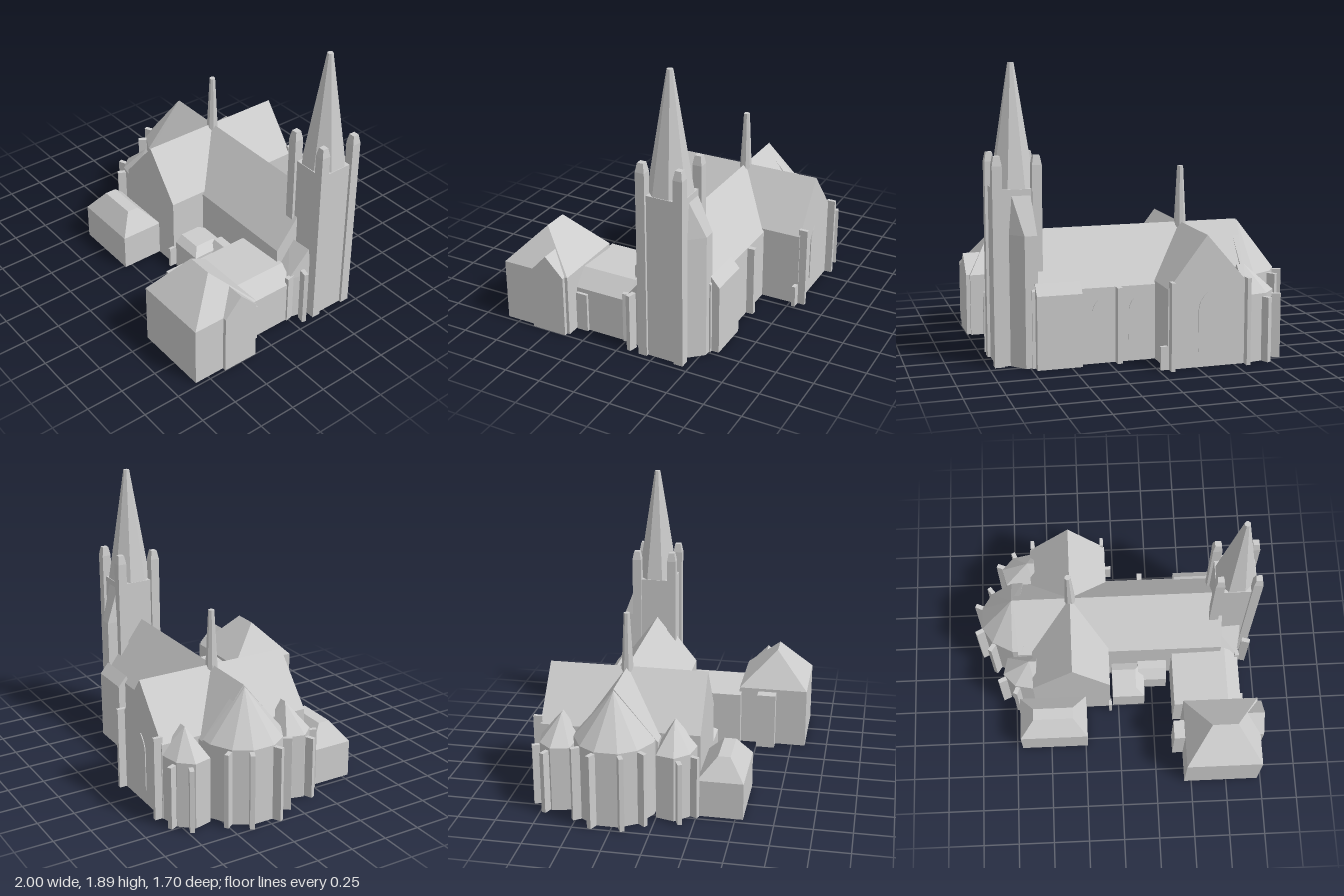
import * as THREE from 'three';
import { ConvexGeometry } from 'three/addons/geometries/ConvexGeometry.js';

export function createModel() {
  const model = new THREE.Group();
  model.name = 'church';
  const stone = new THREE.MeshStandardMaterial({ color: 0xcccccc });
  stone.name = 'paleStone';

  const add = (name, geometry, x = 0, y = 0, z = 0, ry = 0) => {
    const mesh = new THREE.Mesh(geometry, stone);
    mesh.name = name;
    mesh.position.set(x, y, z);
    mesh.rotation.y = ry;
    model.add(mesh);
    return mesh;
  };
  // Walls rise from a footprint of [x, z, own eave height?]; roof points are [x, y, z]
  const building = (name, footprint, eave, roof = []) => {
    const pts = roof.map(p => new THREE.Vector3(...p));
    for (const [x, z, y = eave] of footprint)
      pts.push(new THREE.Vector3(x, 0, z), new THREE.Vector3(x, y, z));
    return add(name, new ConvexGeometry(pts));
  };
  const rect = (x0, x1, z0, z1) => [[x0, z0], [x1, z0], [x1, z1], [x0, z1]];
  const block = (name, w, h, d, x, z, ry = 0) =>
    add(name, new THREE.BoxGeometry(w, h, d), x, h / 2, z, ry);
  const axisZ = -0.28;

  // Nave and polygonal apse under one ridge
  building('nave', rect(-0.7, 0.74, -0.54, 0), 0.49,
    [[-0.71, 0.84, axisZ], [0.74, 0.84, axisZ]]);
  const apse = [[-0.66, 0.265], [-0.74, 0.26], [-0.88, 0.185], [-0.95, 0.075]];
  building('apse', [
    ...apse.map(([x, d]) => [x, axisZ - d]),
    ...apse.map(([x, d]) => [x, axisZ + d])], 0.51,
    [[-0.72, 0.83, axisZ], [-0.66, 0.83, axisZ]]);

  // Transept crossing the nave
  building('transept', rect(-0.6, -0.06, -0.8, 0.255), 0.51,
    [[-0.315, 0.84, -0.8], [-0.315, 0.84, 0.255]]);

  // Matching chapels and radiating buttresses either side of the apse
  for (const s of [-1, 1]) {
    const at = d => axisZ + s * d;
    building('sideChapel', [
      [-0.57, at(0.26)], [-0.78, at(0.28)], [-0.81, at(0.4)],
      [-0.73, at(0.49)], [-0.58, at(0.52)]], 0.44,
      [[-0.62, 0.61, at(0.37)], [-0.57, 0.61, at(0.37)]]);
    const props = [
      [-0.97, 0.095, 0.5, -0.45], [-0.885, 0.215, 0.5, -0.95],
      [-0.82, 0.435, 0.42, -0.4], [-0.72, 0.515, 0.42, -1.15]];
    for (const [x, d, h, a] of props)
      block('apseButtress', 0.06, h, 0.03, x, at(d), a * -s);
  }

  // Buttresses along the walls
  block('transeptButtress', 0.025, 0.56, 0.06, -0.58, -0.82);
  block('transeptButtress', 0.025, 0.56, 0.06, -0.08, -0.82);
  block('lowButtress', 0.06, 0.15, 0.025, -0.045, -0.788);
  block('lowButtress', 0.02, 0.15, 0.05, -0.06, 0.27);
  block('naveButtress', 0.035, 0.49, 0.06, 0.185, -0.56);

  // Lean-to on the north wall
  building('northLeanTo', rect(0.43, 0.72, -0.59, -0.5), 0.47,
    [[0.43, 0.54, -0.53], [0.72, 0.54, -0.53]]);

  // Tower, corner pinnacles and octagonal spire
  const tx = 0.807, tz = -0.3;
  const tower = add('tower', new THREE.BoxGeometry(0.275, 1.12, 0.275), tx, 0.56, tz);
  tower.name = 'tower';
  for (const sx of [-1, 1]) for (const sz of [-1, 1]) {
    const x = tx + sx * 0.125, z = tz + sz * 0.127, top = [];
    for (const ex of [-1, 1]) for (const ez of [-1, 1])
      top.push([x + ex * 0.02, 1.33, z + ez * 0.02]);
    building('cornerPinnacle', rect(x - 0.031, x + 0.031, z - 0.031, z + 0.031), 1.27, top);
  }
  const octagon = (name, rTop, rBase, y0, y1, x, z) => {
    const g = new THREE.CylinderGeometry(rTop, rBase, y1 - y0, 8).toNonIndexed();
    g.rotateY(Math.PI / 8);
    g.computeVertexNormals();
    return add(name, g, x, (y0 + y1) / 2, z);
  };
  octagon('spire', 0.02, 0.144, 1.12, 1.895, tx, tz);
  octagon('ridgeTurret', 0.02, 0.042, 0.78, 1.21, -0.315, axisZ);

  // Sloped stair wings beside the tower
  building('northStair', [[0.7, -0.53], [0.78, -0.53], [0.86, -0.44], [0.7, -0.44]], 0.84,
    [[0.72, 1.08, -0.44], [0.84, 1.08, -0.44]]);
  building('southStair', [[0.7, 0.0], [0.86, 0.0], [0.9, -0.16], [0.7, -0.16]], 0.33,
    [[0.7, 0.52, -0.14], [0.88, 0.52, -0.15]]);
  block('towerButtress', 0.06, 0.4, 0.03, 0.93, -0.075, -0.25);
  block('towerButtress', 0.03, 0.35, 0.06, 0.86, -0.01, 0.2);

  // Link between the nave and the front house
  building('link', [[0.39, -0.02, 0.385], [0.87, -0.02, 0.3], [0.87, 0.38, 0.3], [0.39, 0.38, 0.385]],
    0.38, [[0.77, 0.405, -0.02], [0.77, 0.405, 0.38]]);
  block('linkButtress', 0.03, 0.27, 0.08, 0.875, 0.32);

  // Hipped front house with a gabled wing and a small west bay
  building('house', rect(0.45, 0.975, 0.365, 0.845), 0.42,
    [[0.625, 0.66, 0.615], [0.8, 0.66, 0.615]]);
  building('houseWing', rect(0.85, 1, 0.385, 0.63), 0.42,
    [[0.85, 0.55, 0.51], [1, 0.55, 0.51]]);
  block('houseBay', 0.1, 0.4, 0.13, 0.425, 0.565);

  // Low sacristy with a flat-topped hipped roof
  building('sacristy', rect(-0.71, -0.235, 0.25, 0.55), 0.25,
    [[-0.61, 0.385, 0.37], [-0.33, 0.385, 0.37], [-0.33, 0.385, 0.45], [-0.61, 0.385, 0.45]]);

  // Small porch and its side lean-to
  building('porch', rect(-0.04, 0.19, -0.02, 0.25), 0.2,
    [[-0.04, 0.245, 0.06], [0.13, 0.245, 0.06], [0.13, 0.245, 0.2], [-0.04, 0.245, 0.2]]);
  building('porchLeanTo', rect(0.15, 0.355, -0.02, 0.12), 0.17,
    [[0.15, 0.25, -0.02], [0.355, 0.25, -0.02], [0.15, 0.25, 0.06], [0.355, 0.25, 0.06]]);

  // Pointed windows as thin plates on the north walls
  const lancet = (x, y, z, w, h) => {
    const s = new THREE.Shape();
    s.moveTo(-w / 2, 0);
    s.lineTo(w / 2, 0);
    s.lineTo(w / 2, h * 0.7);
    s.quadraticCurveTo(w / 2, h * 0.87, 0, h);
    s.quadraticCurveTo(-w / 2, h * 0.87, -w / 2, h * 0.7);
    add('lancetWindow', new THREE.ExtrudeGeometry(s, { depth: 0.008, bevelEnabled: false, curveSegments: 4 }),
      x, y, z, Math.PI);
  };
  lancet(-0.32, 0.1, -0.798, 0.12, 0.38);
  lancet(0.08, 0.14, -0.538, 0.07, 0.27);
  lancet(0.32, 0.14, -0.538, 0.07, 0.27);

  return model;
}
